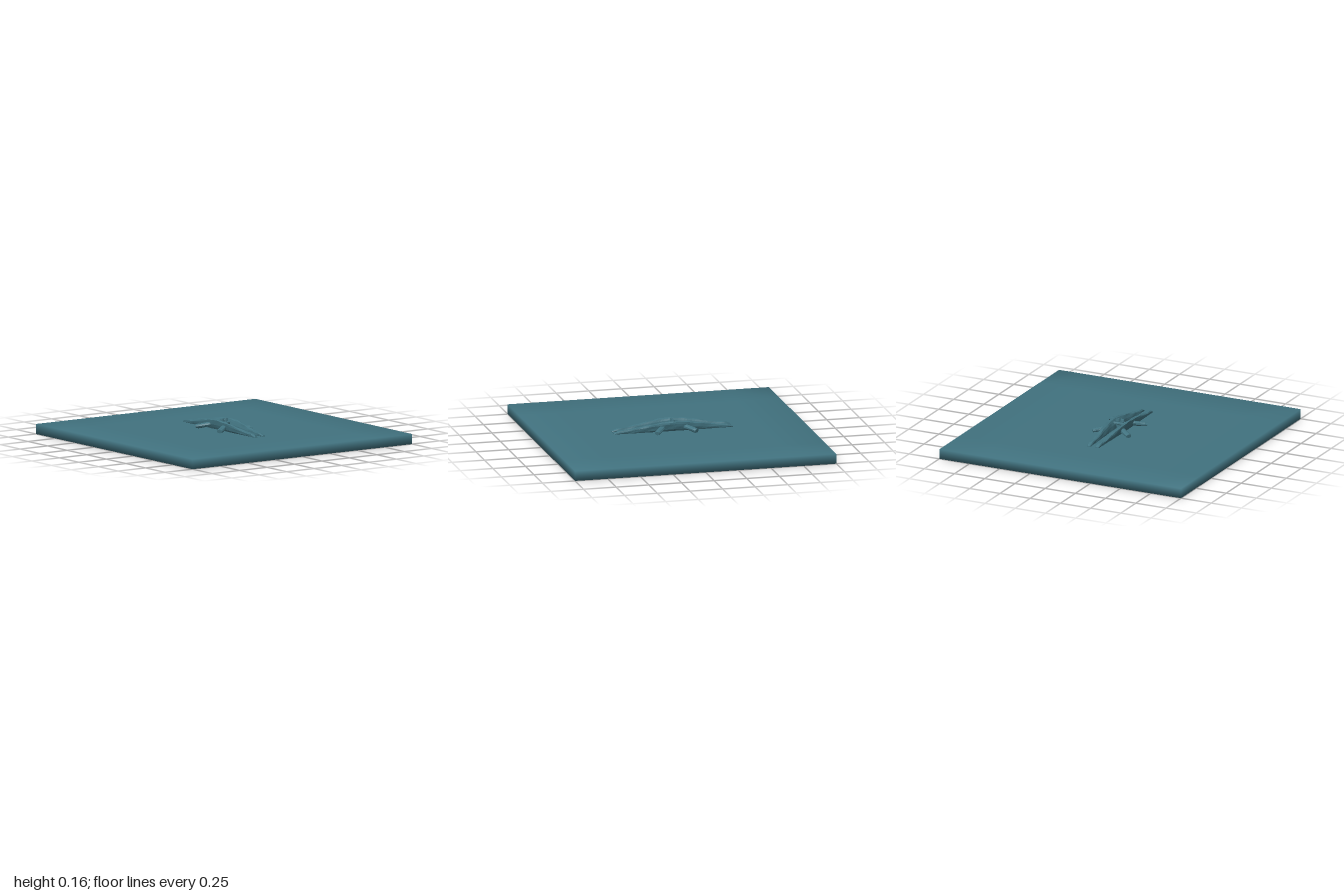
import * as THREE from 'three';
import { mergeVertices } from 'three/addons/utils/BufferGeometryUtils.js';

const TOP = 0.075; // height of the slab's upper face
const teal = new THREE.MeshStandardMaterial({ color: 0x41727f });
const wood = new THREE.MeshStandardMaterial({ color: 0x41727f, flatShading: true });

// Skin a closed solid over a list of equal-length rings of points
function loft(rings) {
  const n = rings[0].length, pos = [], idx = [];
  rings.forEach(r => r.forEach(p => pos.push(p.x, p.y, p.z)));
  for (let i = 0; i < rings.length - 1; i++) {
    for (let j = 0; j < n; j++) {
      const a = i * n + j, b = i * n + (j + 1) % n;
      idx.push(a, b, a + n, b, b + n, a + n);
    }
  }
  const last = (rings.length - 1) * n;
  for (let j = 1; j < n - 1; j++) {
    idx.push(0, j + 1, j, last, last + j, last + j + 1);
  }
  const g = new THREE.BufferGeometry();
  g.setAttribute('position', new THREE.Float32BufferAttribute(pos, 3));
  g.setIndex(idx);
  g.computeVertexNormals();
  return g;
}

// Small repeatable roughness in the range -1..1
const rough = (a, b) => Math.sin(a * 12.9 + b * 4.7) * Math.sin(a * 5.3 - b * 7.1 + 1.3);

// Rough-barked log between two points
function log(start, end, width, height, seed) {
  const dir = end.clone().sub(start).normalize();
  const side = new THREE.Vector3(0, 1, 0).cross(dir).normalize();
  const up = dir.clone().cross(side);
  const rings = [], steps = 6, sides = 9;
  for (let i = 0; i <= steps; i++) {
    const c = start.clone().lerp(end, i / steps);
    const taper = i === 0 || i === steps ? 0.85 : 1;
    rings.push(Array.from({ length: sides }, (_, j) => {
      const a = j / sides * Math.PI * 2;
      const k = taper * (1 + 0.1 * rough(i + seed, j));
      return c.clone()
        .addScaledVector(side, Math.cos(a) * k * width / 2)
        .addScaledVector(up, Math.sin(a) * k * height / 2);
    }));
  }
  return loft(rings);
}

// Long arched rail: bowed outward and tallest in the middle
function rail(s) {
  const rings = [], steps = 44, sides = 12;
  for (let i = 0; i <= steps; i++) {
    const t = i / steps * 2 - 1, z = t * 0.455;
    const arch = 0.5 + 0.5 * Math.cos(Math.PI * t);
    const tip = Math.min(1, 0.35 + (1 - Math.abs(t)) * 9);
    const h = (0.022 + 0.053 * arch) * tip;
    const x = 0.035 + 0.019 * arch;
    rings.push(Array.from({ length: sides }, (_, j) => {
      const a = j / sides * Math.PI * 2;
      const bump = 1 + 0.13 * rough(i * 0.7 + s, j);
      const v = Math.sin(a), u = Math.sign(Math.cos(a)) * Math.sqrt(Math.abs(Math.cos(a)));
      return new THREE.Vector3(
        s * (x + 0.01 * arch * v) + u * 0.0165 * bump * (0.7 + 0.3 * tip),
        TOP - 0.004 + (h + 0.004) * (0.5 + 0.5 * v) + 0.003 * rough(i, j) * Math.max(0, v),
        z
      );
    }));
  }
  return loft(rings);
}

export function createModel() {
  const model = new THREE.Group();
  const add = (name, geometry, material = wood, parent = model) => {
    const m = new THREE.Mesh(geometry, material);
    m.name = name;
    parent.add(m);
    return m;
  };

  // Ground slab, with normals blended softly around its edges
  let slab = new THREE.BoxGeometry(2, TOP, 2, 6, 1, 6);
  slab.deleteAttribute('uv');
  slab.deleteAttribute('normal');
  slab = mergeVertices(slab);
  slab.computeVertexNormals();
  slab.translate(0, TOP / 2, 0);
  add('groundSlab', slab, teal);

  const V = (x, y, z) => new THREE.Vector3(x, y, z);
  const frame = new THREE.Group();
  frame.name = 'logFrame';
  model.add(frame);

  for (const s of [-1, 1]) {
    add(s > 0 ? 'leftRail' : 'rightRail', rail(s), wood, frame);

    // Splayed props that lean against the rails
    for (const f of [-1, 1]) {
      const name = (f > 0 ? 'front' : 'back') + (s > 0 ? 'Left' : 'Right') + 'Prop';
      add(name, log(V(s * 0.055, 0.108, f * 0.085), V(s * 0.15, 0.09, f * 0.152), 0.046, 0.034, s + f * 3), wood, frame);
    }

    // Short uprights in the centre
    add(s > 0 ? 'leftPost' : 'rightPost', log(V(s * 0.012, 0.073, 0.003), V(s * 0.019, 0.155, 0), 0.022, 0.034, s * 5), wood, frame);
  }

  // Ties between the rails
  for (const z of [-0.014, 0.014]) {
    add('crossTie', log(V(-0.05, 0.123, z), V(0.05, 0.123, z), 0.018, 0.022, z * 300), wood, frame);
  }
  return model;
}
